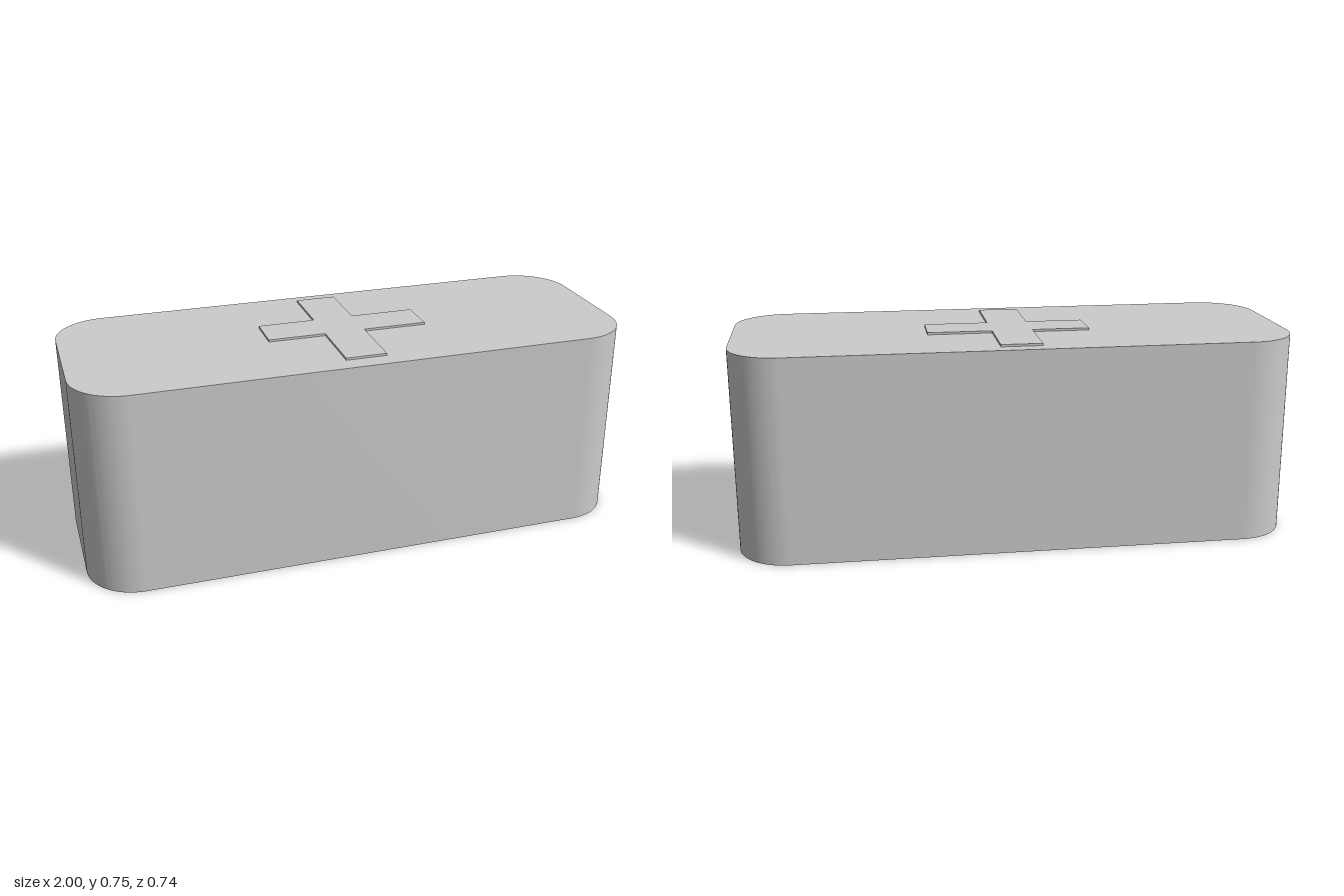
import * as THREE from 'three';
import { toCreasedNormals } from 'three/addons/utils/BufferGeometryUtils.js';

// Extrudes a plan outline (x, -z) upwards from height y
function slab(name, shape, y, height, material) {
  const geometry = new THREE.ExtrudeGeometry(shape, { depth: height, bevelEnabled: false, curveSegments: 16 });
  geometry.rotateX(-Math.PI / 2);
  geometry.translate(0, y, 0);
  const mesh = new THREE.Mesh(toCreasedNormals(geometry, 0.5), material);
  mesh.name = name;
  return mesh;
}

export function createModel() {
  const group = new THREE.Group();
  group.name = 'roundedBlock';
  const material = new THREE.MeshStandardMaterial({ color: 0xcccccc });

  // Block with rounded vertical corners
  const w = 1, d = 0.369, r = 0.185, height = 0.738;
  const outline = new THREE.Shape();
  outline.absarc(w - r, d - r, r, 0, Math.PI / 2);
  outline.absarc(r - w, d - r, r, Math.PI / 2, Math.PI);
  outline.absarc(r - w, r - d, r, Math.PI, Math.PI * 1.5);
  outline.absarc(w - r, r - d, r, Math.PI * 1.5, Math.PI * 2);
  outline.closePath();
  group.add(slab('body', outline, 0, height, material));

  // Thin raised cross, slightly off centre
  const [x0, x1, x2, x3] = [-0.283, -0.075, 0.072, 0.305];
  const [y0, y1, y2, y3] = [-0.3, -0.057, 0.089, 0.315];
  const cross = new THREE.Shape([
    [x1, y0], [x2, y0], [x2, y1], [x3, y1], [x3, y2], [x2, y2],
    [x2, y3], [x1, y3], [x1, y2], [x0, y2], [x0, y1], [x1, y1],
  ].map(([x, y]) => new THREE.Vector2(x, y)));
  group.add(slab('raisedCross', cross, height, 0.008, material));

  return group;
}
